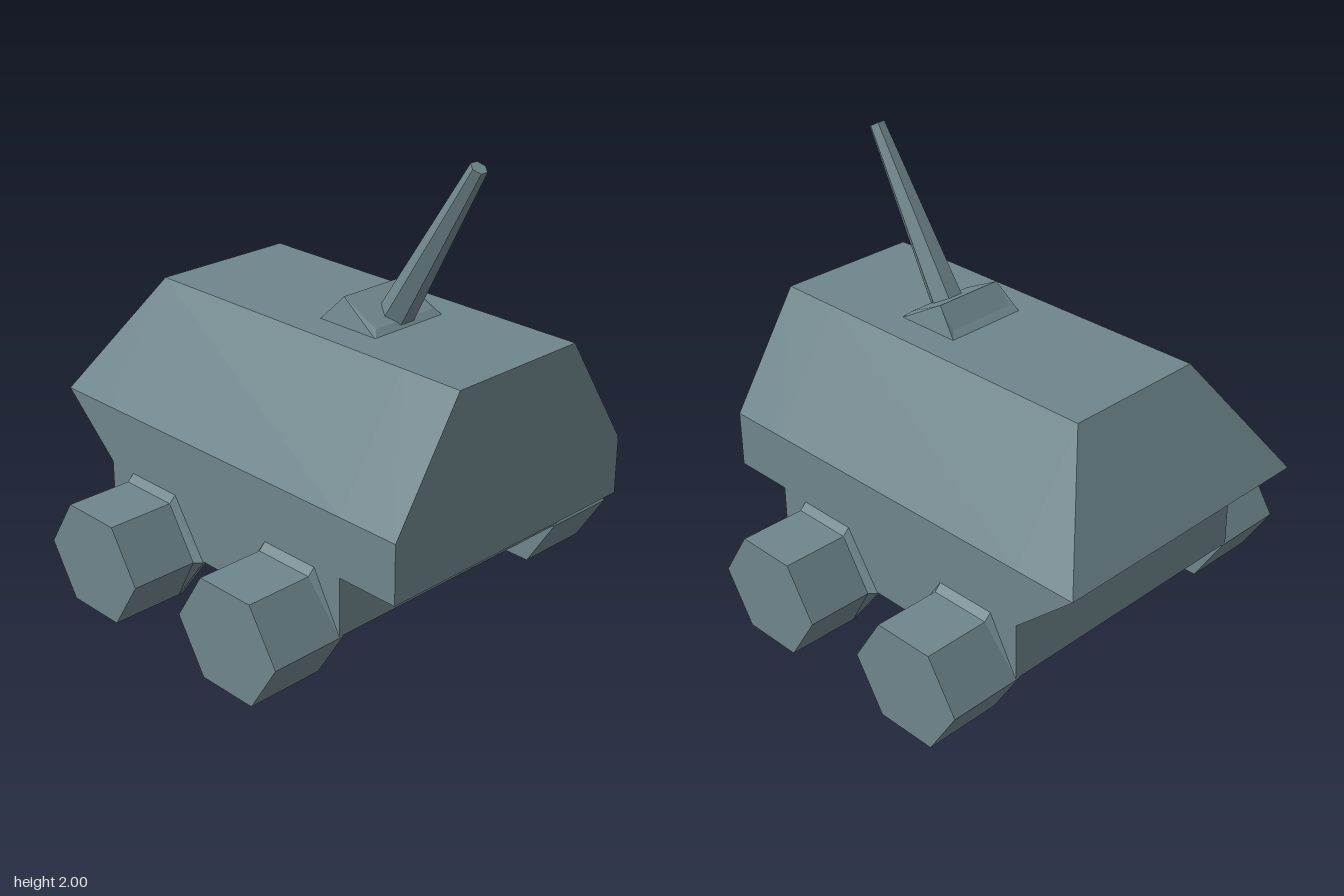
import * as THREE from 'three';

const material = new THREE.MeshStandardMaterial({ color: 0x6f868c, flatShading: true });

// Closed solid through matching rings of [x, y, z], each counter-clockwise seen from the last ring's end
function loft(name, rings) {
  const pos = [];
  const tri = (a, b, c) => pos.push(...a, ...b, ...c);
  const n = rings[0].length;
  for (let r = 0; r + 1 < rings.length; r++) {
    const a = rings[r], b = rings[r + 1];
    for (let i = 0; i < n; i++) {
      const j = (i + 1) % n;
      tri(a[i], a[j], b[j]);
      tri(a[i], b[j], b[i]);
    }
  }
  const first = rings[0], last = rings[rings.length - 1];
  for (let i = 1; i + 1 < n; i++) {
    tri(first[0], first[i + 1], first[i]);
    tri(last[0], last[i], last[i + 1]);
  }
  const geometry = new THREE.BufferGeometry();
  geometry.setAttribute('position', new THREE.Float32BufferAttribute(pos, 3));
  geometry.computeVertexNormals();
  const mesh = new THREE.Mesh(geometry, material);
  mesh.name = name;
  return mesh;
}

// Hull cross-section: upright lower sides, sloped upper sides
const W = 0.665, BELT = 0.75;
const hullRing = (z, bottom, top, halfTop) => [
  [-W, bottom, z], [W, bottom, z], [W, BELT, z],
  [halfTop, top, z], [-halfTop, top, z], [-W, BELT, z],
];

// Hexagonal wheel, with a small fillet where it meets the hull
function wheel(side, end) {
  const ring = (x, fillet) => Array.from({ length: 6 }, (_, i) => {
    const a = Math.PI / 6 + i * Math.PI / 3;
    let y = 0.225 + 0.26 * Math.cos(a);
    let z = end * 0.425 + 0.285 * Math.sin(a);
    if (Math.cos(a) > 0.5) y += fillet;
    if (Math.abs(z) < 0.2) z -= end * fillet;
    return [side * x, y, z];
  });
  const rings = [ring(W - 0.02, 0.03), ring(W, 0.03), ring(W + 0.03, 0), ring(1, 0)];
  if (side < 0) rings.reverse();
  return loft(`${end > 0 ? 'front' : 'rear'}${side > 0 ? 'Left' : 'Right'}Wheel`, rings);
}

export function createModel() {
  const group = new THREE.Group();
  group.name = 'armouredVehicle';

  // Hull with stepped underside and wedge tail
  group.add(loft('hull', [
    hullRing(-1, BELT, BELT, W),
    hullRing(-0.71, 0.49, 1.26, 0.335),
    hullRing(-0.71, 0.23, 1.26, 0.335),
    hullRing(0.71, 0.23, 1.26, 0.335),
    hullRing(0.71, 0.49, 1.26, 0.335),
    hullRing(1, 0.49, 1.26, 0.335),
  ]));

  for (const side of [-1, 1]) for (const end of [-1, 1]) group.add(wheel(side, end));

  // Tilted gun mount, flared at its foot
  const profile = [[0.22, 1.375], [0.4, 1.285], [0.43, 1.255], [0.11, 1.255], [0.145, 1.285]];
  const mountRing = (s) => profile.map(([z, y]) => [s * (y < 1.26 ? 0.195 : 0.165), y, z]);
  group.add(loft('gunMount', [mountRing(-1), mountRing(1)]));

  // Tapered barrel raised towards the front
  const from = new THREE.Vector3(0, 1.28, 0.345), to = new THREE.Vector3(0, 1.985, 0.765);
  const axis = to.clone().sub(from);
  const barrel = new THREE.Mesh(new THREE.CylinderGeometry(0.036, 0.075, axis.length(), 6), material);
  barrel.name = 'gunBarrel';
  barrel.position.copy(from).add(to).multiplyScalar(0.5);
  barrel.rotation.x = Math.atan2(axis.z, axis.y);
  barrel.rotateY(Math.PI / 6);
  group.add(barrel);

  return group;
}
